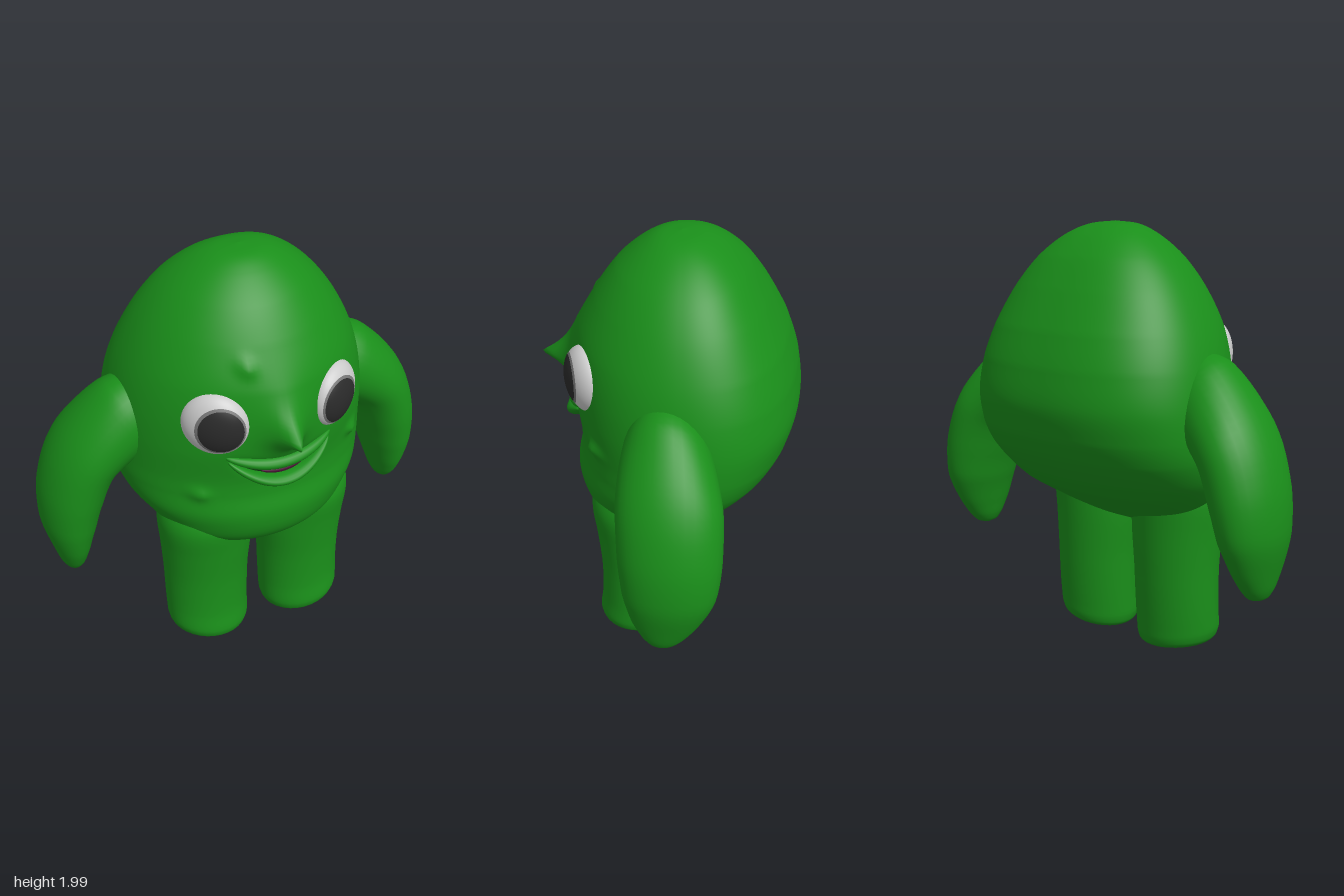
import * as THREE from 'three';
import { mergeVertices } from 'three/addons/utils/BufferGeometryUtils.js';

const material = (color) => new THREE.MeshStandardMaterial({ color });
const green = material(0x1a8f1a);
const darkGreen = material(0x0a3a0c);
const purple = material(0x4a1236);
const white = material(0xcccccc);
const grey = material(0x777777);
const black = material(0x2b2b2b);

// Smooth closed skin from point(t, angle), t running 0..1 along the shape
function skin(point, nu, nv) {
  const positions = [], index = [];
  for (let i = 0; i <= nu; i++) {
    for (let j = 0; j < nv; j++) {
      positions.push(...point(i / nu, (j / nv) * Math.PI * 2));
      if (i === nu) continue;
      const a = i * nv + j, b = i * nv + (j + 1) % nv;
      index.push(a, b, a + nv, b, b + nv, a + nv);
    }
  }
  let geometry = new THREE.BufferGeometry();
  geometry.setAttribute('position', new THREE.Float32BufferAttribute(positions, 3));
  geometry.setIndex(index);
  geometry = mergeVertices(geometry, 1e-5);
  geometry.computeVertexNormals();
  return geometry;
}

const spline = (rows, pick) => new THREE.CatmullRomCurve3(rows.map((r) => new THREE.Vector3(...pick(r))));

// Limb with elliptical sections; rows are [x, y, z, radius in the xy plane, radius in z]
function limb(rows, side = 1, adjust = (p) => p, nu = 48, nv = 32) {
  const centre = spline(rows, (r) => [r[0], r[1], r[2]]);
  const radius = spline(rows, (r) => [r[3], r[4], 0]);
  return skin((t, angle) => {
    const c = centre.getPoint(t), r = radius.getPoint(t), d = centre.getTangent(t);
    const length = Math.hypot(d.x, d.y) || 1;
    const n = Math.cos(angle) * Math.max(r.x, 0), w = Math.sin(angle * side) * Math.max(r.y, 0);
    const p = adjust([c.x - (d.y / length) * n, c.y + (d.x / length) * n, c.z + w]);
    return [p[0] * side, p[1], p[2]];
  }, nu, nv);
}

// Body sections: [height, half width, front z, back z]
const BODY = [
  [2, 0, -0.05, -0.05], [1.985, 0.12, 0.05, -0.15], [1.94, 0.22, 0.13, -0.24],
  [1.85, 0.335, 0.23, -0.34], [1.72, 0.44, 0.32, -0.43], [1.55, 0.53, 0.4, -0.52],
  [1.4, 0.58, 0.42, -0.57], [1.25, 0.605, 0.42, -0.59], [1.1, 0.61, 0.4, -0.56],
  [1.0, 0.6, 0.4, -0.51], [0.9, 0.565, 0.42, -0.43], [0.82, 0.51, 0.415, -0.35],
  [0.74, 0.44, 0.385, -0.22], [0.67, 0.34, 0.32, -0.1], [0.62, 0.2, 0.22, 0], [0.59, 0, 0.11, 0.11],
];

// Warts: [x, y, radius, height]
const WARTS = [[-0.14, 1.65, 0.05, 0.022], [-0.35, 1.02, 0.05, 0.022], [0.42, 1.13, 0.045, 0.035]];

// Nose, warts and mouth hollow pushed out of or into the face
function faceRelief(x, y) {
  const dy = y - 1.35;
  const r = Math.hypot(x / 0.055, dy / (dy > 0 ? 0.085 : 0.055));
  let push = 0.195 * Math.exp(-Math.sqrt(r * r + 0.02));
  for (const [wx, wy, size, height] of WARTS) {
    push += height * Math.exp(-(((x - wx) ** 2 + (y - wy) ** 2) / (size * size)) * 2);
  }
  const smile = 1.145 + 1.3 * x * x;
  return push - 0.05 * Math.exp(-(((y - smile) / 0.035) ** 2) - (x / 0.17) ** 4);
}

function bodyGeometry() {
  const outline = spline(BODY, (r) => [r[0], r[1], 0]);
  const depth = spline(BODY, (r) => [r[2], r[3], 0]);
  return skin((t, angle) => {
    const o = outline.getPoint(t), d = depth.getPoint(t);
    const c = Math.cos(angle), s = Math.sin(angle);
    const power = s > 0 ? 1 : 0.85;
    const middle = d.x - 0.56 * (d.x - d.y);
    const x = o.y * Math.sign(c) * Math.abs(c) ** power;
    const z = middle + (s > 0 ? d.x - middle : middle - d.y) * Math.sign(s) * Math.abs(s) ** power;
    return [x, o.x, z + (s > 0 ? faceRelief(x, o.x) * Math.min(1, s * 3) : 0)];
  }, 150, 128);
}

// Strip along the smile: y = height + bend * x², following the face
function smileStrip(halfWidth, height, bend, offset, ry, rz) {
  const rows = [];
  for (let i = 0; i <= 16; i++) {
    const k = -Math.cos((i / 16) * Math.PI), x = k * halfWidth;
    const taper = Math.sqrt(Math.max(0, 1 - k * k));
    const z = -0.15 + 0.565 * Math.sqrt(1 - (x / 0.605) ** 2) + offset * taper;
    rows.push([x, height + bend * x * x, z, ry * taper, rz * taper]);
  }
  return limb(rows, 1, undefined, 48, 16);
}

const ARM = [
  [0.36, 1.36, -0.07, 0, 0], [0.4, 1.35, -0.07, 0.13, 0.12], [0.52, 1.275, -0.08, 0.195, 0.18],
  [0.64, 1.19, -0.1, 0.175, 0.21], [0.74, 1.08, -0.12, 0.157, 0.225], [0.81, 0.9, -0.133, 0.15, 0.22],
  [0.84, 0.735, -0.135, 0.13, 0.2], [0.846, 0.59, -0.12, 0.09, 0.148], [0.847, 0.5, -0.11, 0.062, 0.095],
  [0.847, 0.46, -0.105, 0.04, 0.058], [0.847, 0.44, -0.1, 0, 0],
];

const LEG = [
  [0.25, 0.9, 0.1, 0, 0], [0.25, 0.88, 0.1, 0.18, 0.16], [0.25, 0.75, 0.11, 0.228, 0.21],
  [0.245, 0.6, 0.105, 0.222, 0.2], [0.248, 0.4, 0.1, 0.208, 0.187], [0.25, 0.2, 0.105, 0.204, 0.182],
  [0.25, 0.1, 0.115, 0.202, 0.185], [0.25, 0.055, 0.115, 0.19, 0.175], [0.25, 0.034, 0.115, 0.165, 0.15],
  [0.25, 0.026, 0.115, 0.09, 0.08], [0.25, 0.025, 0.115, 0, 0],
];
// Soles rise toward the outside
const slantSole = ([x, y, z]) => [x, y + (x - 0.25) * 0.13 * Math.max(0, 1 - y / 0.5), z];

function createEye(side) {
  const eye = new THREE.Group();
  eye.name = side > 0 ? 'leftEye' : 'rightEye';
  const add = (name, mat, geometry, size) => {
    const mesh = new THREE.Mesh(geometry, mat);
    mesh.name = name;
    mesh.scale.setScalar(size);
    eye.add(mesh);
  };
  // Caps sit on the eyeball and look straight ahead
  const cap = (angle) => new THREE.SphereGeometry(1, 40, 12, 0, Math.PI * 2, 0, angle)
    .rotateX(Math.PI / 2).rotateY(-0.37 * side);
  add('eyeball', white, new THREE.SphereGeometry(1, 40, 28), 1);
  add('pupilRim', grey, cap(0.86), 1.006);
  add('pupil', black, cap(0.75), 1.012);
  eye.scale.set(0.148, 0.15, 0.085);
  eye.rotation.y = 0.62 * side;
  eye.position.set(0.275 * side, 1.4, 0.32);
  return eye;
}

export function createModel() {
  const model = new THREE.Group();
  model.name = 'roundCreature';
  const add = (name, geometry, mat = green) => {
    const mesh = new THREE.Mesh(geometry, mat);
    mesh.name = name;
    model.add(mesh);
  };

  add('body', bodyGeometry());

  // Mouth
  add('upperLip', smileStrip(0.25, 1.188, 0.8, 0.005, 0.03, 0.04));
  add('lowerLip', smileStrip(0.24, 1.1, 2, 0.015, 0.027, 0.048));
  add('mouthInside', smileStrip(0.21, 1.145, 1.4, -0.025, 0.035, 0.025), darkGreen);
  add('tongue', smileStrip(0.1, 1.138, 1.4, -0.012, 0.02, 0.025), purple);

  // Paired parts
  for (const side of [1, -1]) {
    const label = side > 0 ? 'left' : 'right';
    add(label + 'Arm', limb(ARM, side));
    add(label + 'Leg', limb(LEG, side, slantSole));
    model.add(createEye(side));
  }
  return model;
}
